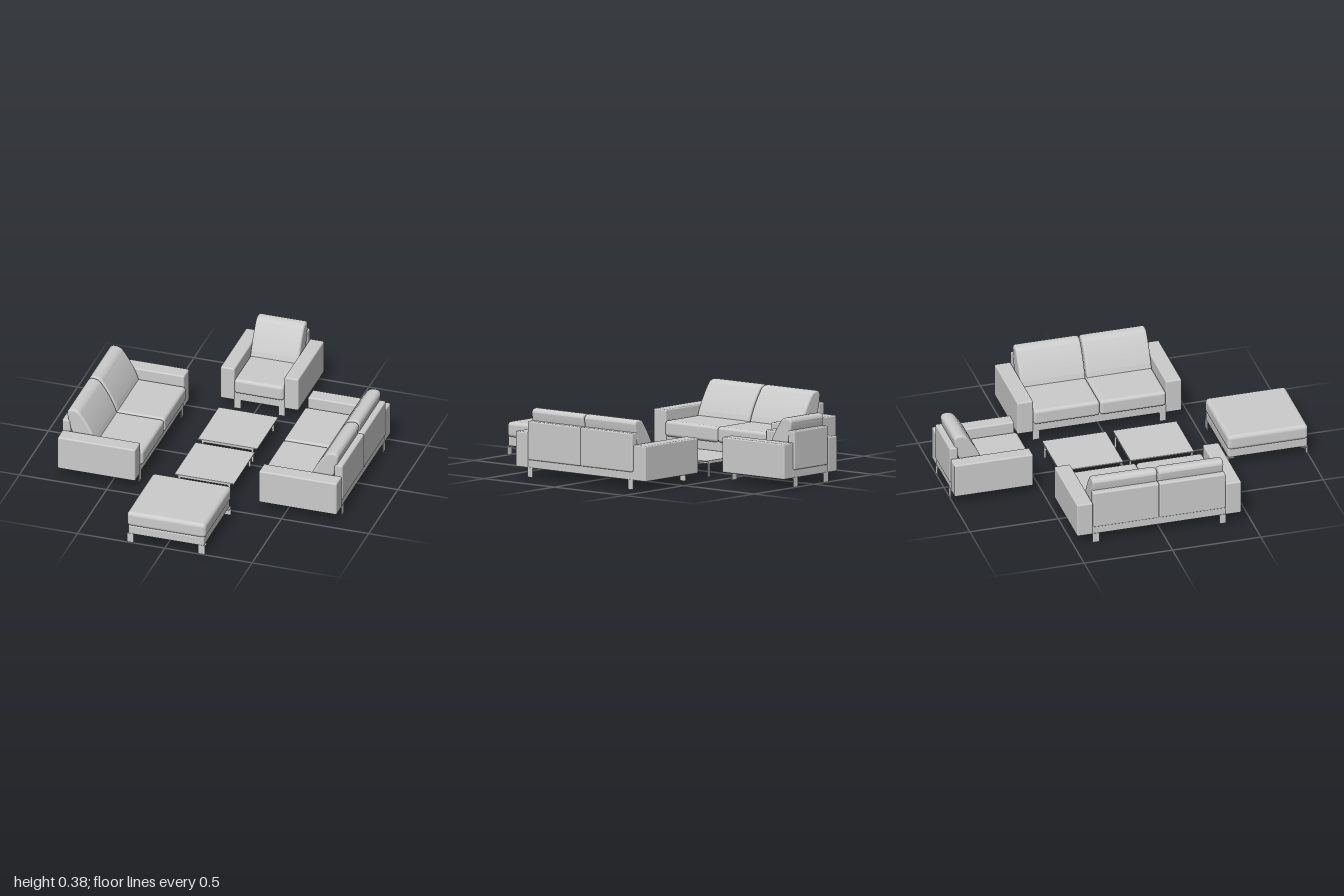
import * as THREE from 'three';
import { RoundedBoxGeometry } from 'three/addons/geometries/RoundedBoxGeometry.js';

const material = new THREE.MeshStandardMaterial({ color: 0xcccccc });

function add(parent, name, geometry, x, y, z) {
  const mesh = new THREE.Mesh(geometry, material);
  mesh.name = name;
  mesh.position.set(x, y, z);
  parent.add(mesh);
  return mesh;
}

// Box given by its lower and upper limits; r > 0 rounds the edges
function block(parent, name, [x0, x1], [y0, y1], [z0, z1], r = 0) {
  const size = [x1 - x0, y1 - y0, z1 - z0];
  const geometry = r ? new RoundedBoxGeometry(...size, 4, r) : new THREE.BoxGeometry(...size);
  return add(parent, name, geometry, (x0 + x1) / 2, (y0 + y1) / 2, (z0 + z1) / 2);
}

// Four flat metal feet, each with a small mounting flange under the base
function feet(parent, halfX, zFront, zBack) {
  for (const x of [-halfX, halfX]) {
    for (const [z, inward] of [[zFront, -1], [zBack, 1]]) {
      block(parent, 'foot', [x - 0.019, x + 0.019], [0, 0.055], [z - 0.002, z + 0.002]);
      const zs = [z, z + inward * 0.035].sort((a, b) => a - b);
      block(parent, 'footFlange', [x - 0.019, x + 0.019], [0.047, 0.051], zs);
    }
  }
}

// Leaning wedge cushion: side profile (z, y) extruded across the width
function backCushion(width) {
  const bevel = 0.012;
  const shape = new THREE.Shape();
  shape.moveTo(0.155, 0.19);
  shape.lineTo(0.06, 0.19);
  shape.quadraticCurveTo(0.018, 0.28, 0.012, 0.352);
  shape.quadraticCurveTo(0.016, 0.366, 0.032, 0.364);
  shape.quadraticCurveTo(0.058, 0.364, 0.07, 0.345);
  shape.quadraticCurveTo(0.122, 0.276, 0.155, 0.19);
  const geometry = new THREE.ExtrudeGeometry(shape, {
    depth: width - 2 * bevel, steps: 1, curveSegments: 8,
    bevelSize: bevel, bevelThickness: bevel, bevelSegments: 4,
  });
  geometry.translate(0, 0, -width / 2 + bevel);
  geometry.rotateY(-Math.PI / 2); // profile depth now runs along +z
  return geometry;
}

// Armchair or sofa facing +z
function seating(name, inner, arm, count) {
  const group = new THREE.Group();
  group.name = name;
  const half = inner / 2;
  block(group, 'base', [-half - 0.004, half + 0.004], [0.05, 0.105], [-0.222, 0.216], 0.006);
  for (const s of [-1, 1]) {
    const xs = [s * half, s * (half + arm)].sort((a, b) => a - b);
    block(group, 'armrest', xs, [0.05, 0.245], [-0.225, 0.22], 0.008);
  }
  const w = inner / count;
  for (let i = 0; i < count; i++) {
    const x0 = -half + i * w, x1 = x0 + w;
    block(group, 'seatCushion', [x0 + 0.001, x1 - 0.001], [0.1, 0.188], [-0.2, 0.234], 0.018);
    block(group, 'backPanel', [x0 + 0.001, x1 - 0.001], [0.095, 0.308], [-0.229, -0.182], 0.008);
    add(group, 'backCushion', backCushion(w - 0.008), (x0 + x1) / 2, 0, -0.202);
  }
  feet(group, half - 0.016, 0.214, -0.223);
  return group;
}

function ottoman() {
  const group = new THREE.Group();
  group.name = 'ottoman';
  block(group, 'base', [-0.217, 0.217], [0.05, 0.104], [-0.225, 0.225], 0.008);
  block(group, 'cushion', [-0.226, 0.226], [0.098, 0.185], [-0.228, 0.228], 0.022);
  feet(group, 0.204, 0.224, -0.224);
  return group;
}

// Low table: thin top, rail frame and four slim legs
function table() {
  const group = new THREE.Group();
  group.name = 'coffeeTable';
  const hx = 0.17, hz = 0.18;
  block(group, 'tableTop', [-hx, hx], [0.084, 0.09], [-hz, hz]);
  for (const s of [-1, 1]) {
    const x = s * 0.143, z = s * 0.174;
    block(group, 'crossRail', [-0.149, 0.149], [0.073, 0.084], [z - 0.004, z + 0.004]);
    block(group, 'sideRail', [x - 0.005, x + 0.005], [0.073, 0.084], [-0.174, 0.174]);
    for (const t of [-1, 1]) {
      const lz = t * 0.174;
      block(group, 'tableLeg', [x - 0.006, x + 0.006], [0, 0.084], [lz - 0.005, lz + 0.005]);
    }
  }
  return group;
}

export function createModel() {
  const model = new THREE.Group();
  model.name = 'loungeSet';
  const place = (part, x, z, turn = 0) => {
    part.position.set(x, 0, z);
    part.rotation.y = turn;
    model.add(part);
  };
  place(seating('leftSofa', 0.75, 0.09, 2), 0.574, -0.015, -Math.PI / 2);
  place(seating('rightSofa', 0.75, 0.09, 2), -0.574, -0.015, Math.PI / 2);
  place(seating('armchair', 0.285, 0.081, 1), 0.0225, -0.773);
  place(ottoman(), 0.005, 0.771);
  place(table(), 0.015, -0.21);
  place(table(), 0.015, 0.19);
  return model;
}
